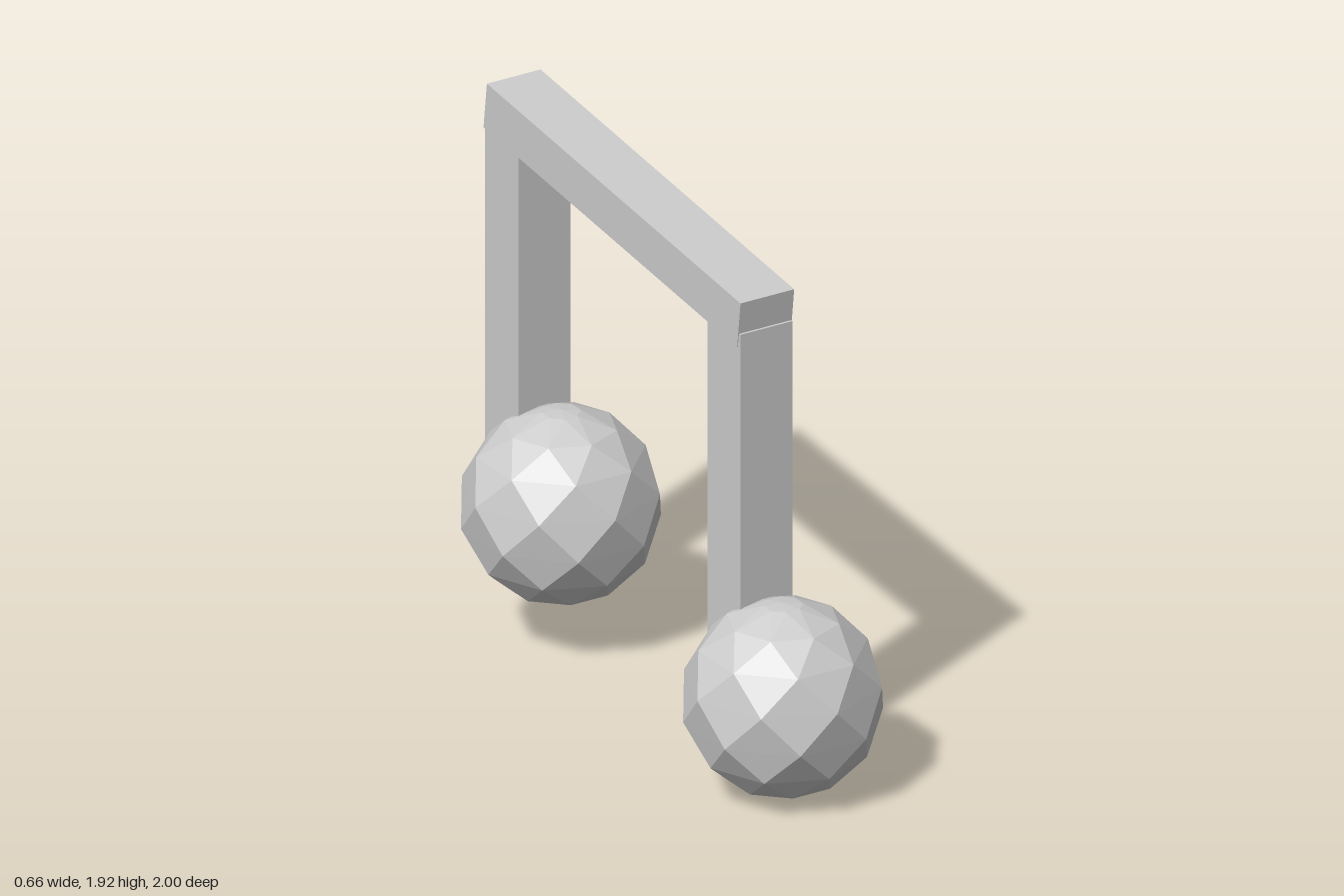
import * as THREE from 'three';

const SIDES = 8, RINGS = 8, RADIUS = 0.335;

// Faceted ball: staggered rings of eight points joined into diamond facets, closed by a point at each pole
function facetedBall() {
  const positions = [], index = [];
  for (let k = 0; k < RINGS; k++) {
    const polar = ((k + 0.5) / RINGS) * Math.PI;
    for (let j = 0; j < SIDES; j++) {
      const a = ((j + (k % 2 ? 0 : 0.5)) / SIDES) * Math.PI * 2;
      const r = RADIUS * Math.sin(polar);
      positions.push(r * Math.sin(a), RADIUS * Math.cos(polar), r * Math.cos(a));
    }
  }
  positions.push(0, RADIUS, 0, 0, -RADIUS, 0);
  const top = RINGS * SIDES, bottom = top + 1;
  const id = (k, j) => k * SIDES + (j % SIDES);
  for (let j = 0; j < SIDES; j++) {
    index.push(top, id(0, j), id(0, j + 1));
    index.push(bottom, id(RINGS - 1, j + 1), id(RINGS - 1, j));
    for (let k = 0; k < RINGS - 1; k++) {
      const s = k % 2 ? 0 : 1;
      index.push(id(k, j), id(k + 1, j + s), id(k, j + 1));
      index.push(id(k + 1, j), id(k + 1, j + 1), id(k, j + 1 - s));
    }
  }
  const geometry = new THREE.BufferGeometry();
  geometry.setAttribute('position', new THREE.Float32BufferAttribute(positions, 3));
  geometry.setIndex(index);
  const flat = geometry.toNonIndexed();
  flat.computeVertexNormals();
  return flat;
}

export function createModel() {
  const model = new THREE.Group();
  const material = new THREE.MeshStandardMaterial({ color: 0xcccccc, flatShading: true });
  const add = (name, geometry, x, y, z) => {
    const mesh = new THREE.Mesh(geometry, material);
    mesh.name = name;
    mesh.position.set(x, y, z);
    model.add(mesh);
    return mesh;
  };

  // Note heads, each with a stem rising from the back of the ball
  const ball = facetedBall();
  const notes = [
    { name: 'front', ballY: 0.335, ballZ: 0.67, stemZ: 0.47, stemTop: 1.61 },
    { name: 'back', ballY: 0.505, ballZ: -0.67, stemZ: -0.87, stemTop: 1.77 },
  ];
  for (const n of notes) {
    add(n.name + 'NoteHead', ball, 0, n.ballY, n.ballZ);
    const height = n.stemTop - n.ballY;
    add(n.name + 'Stem', new THREE.BoxGeometry(0.2, height, 0.2), 0, n.ballY + height / 2, n.stemZ);
  }

  // Slanted beam joining the stems, rising towards the back
  const beam = add('beam', new THREE.BoxGeometry(0.206, 0.165, 1.542), 0, 1.738, -0.2);
  beam.rotation.x = 0.124;
  return model;
}
